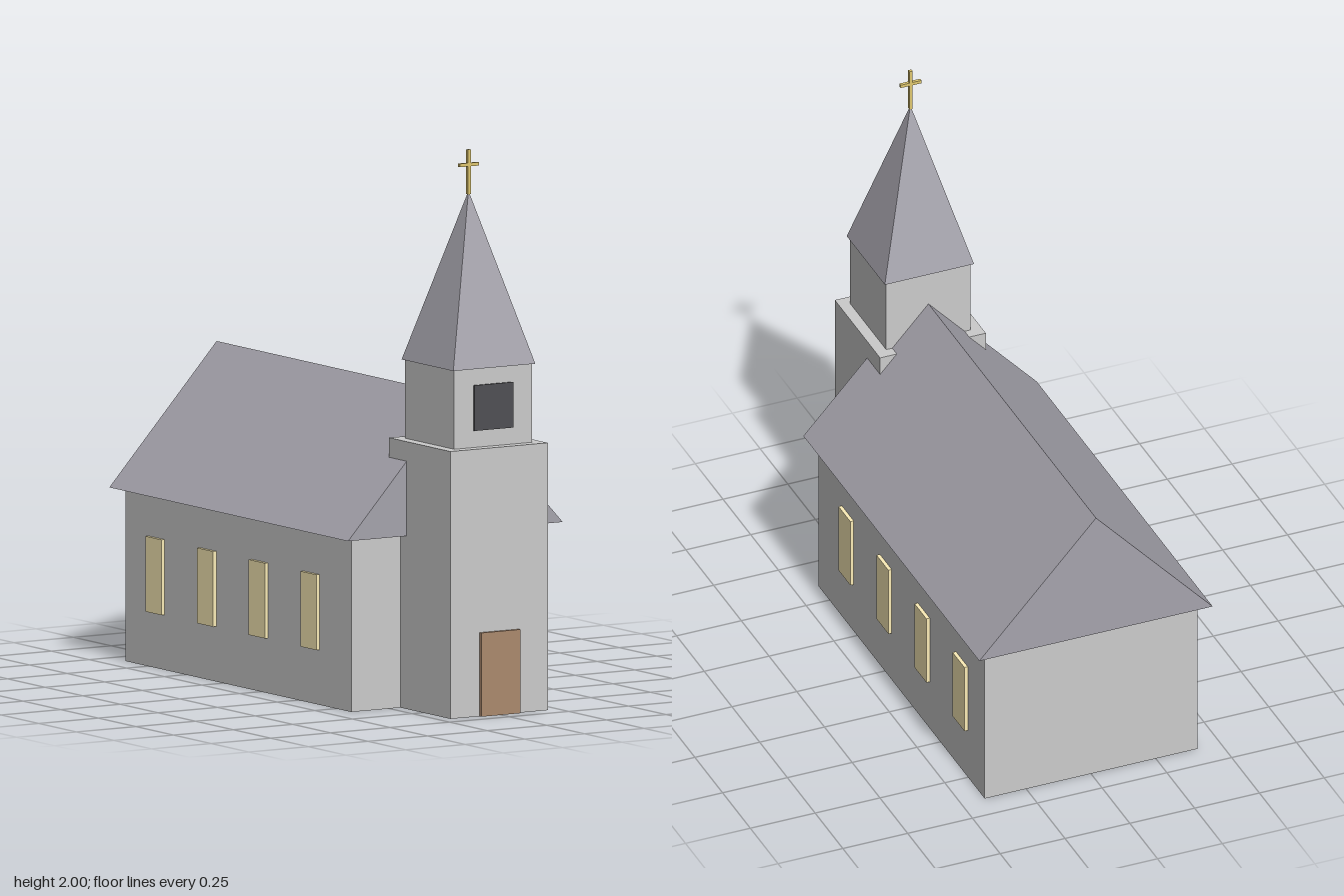
import * as THREE from 'three';

const mat = (color) => new THREE.MeshStandardMaterial({ color, flatShading: true });

export function createModel() {
  const church = new THREE.Group();
  const wall = mat(0xcccccc), slate = mat(0xa6a4ad), glass = mat(0xfcedb7);
  const wood = mat(0xac8a6e), dark = mat(0x505054), gold = mat(0xe0c870);

  const add = (name, geometry, material, x = 0, y = 0, z = 0) => {
    const mesh = new THREE.Mesh(geometry, material);
    mesh.name = name;
    mesh.position.set(x, y, z);
    church.add(mesh);
    return mesh;
  };
  // Box given by its size, with y at its base
  const box = (name, material, w, h, d, x, y, z) =>
    add(name, new THREE.BoxGeometry(w, h, d), material, x, y + h / 2, z);

  // Nave and gabled roof
  box('nave', wall, 0.82, 0.62, 1.5, 0, 0, -0.15);
  const gable = new THREE.Shape([
    new THREE.Vector2(-0.45, 0.62),
    new THREE.Vector2(0.45, 0.62),
    new THREE.Vector2(0, 1.11),
  ]);
  add('naveRoof', new THREE.ExtrudeGeometry(gable, { depth: 1.587, bevelEnabled: false }), slate, 0, 0, -0.945);

  // Windows along both sides
  for (const side of [-1, 1]) {
    for (let i = 0; i < 4; i++) {
      box('window', glass, 0.03, 0.27, 0.107, side * 0.408, 0.197, 0.335 - i * 0.343);
    }
  }

  // Tower, belfry and spire
  const towerZ = 0.729;
  box('tower', wall, 0.408, 0.958, 0.408, 0, 0, towerZ);
  box('belfry', wall, 0.326, 0.282, 0.326, 0, 0.958, towerZ);
  box('belfryOpening', dark, 0.163, 0.163, 0.02, 0, 1.018, 0.889);
  const spire = new THREE.ConeGeometry(0.172 * Math.SQRT2, 0.612, 4);
  spire.rotateY(Math.PI / 4);
  add('spire', spire, slate, 0, 1.24 + 0.306, towerZ);

  // Front door
  box('door', wood, 0.163, 0.3, 0.03, 0, 0, 0.93);

  // Cross on the spire
  box('crossPost', gold, 0.012, 0.16, 0.012, 0, 1.84, towerZ);
  box('crossArm', gold, 0.08, 0.012, 0.012, 0, 1.94, towerZ);

  return church;
}
